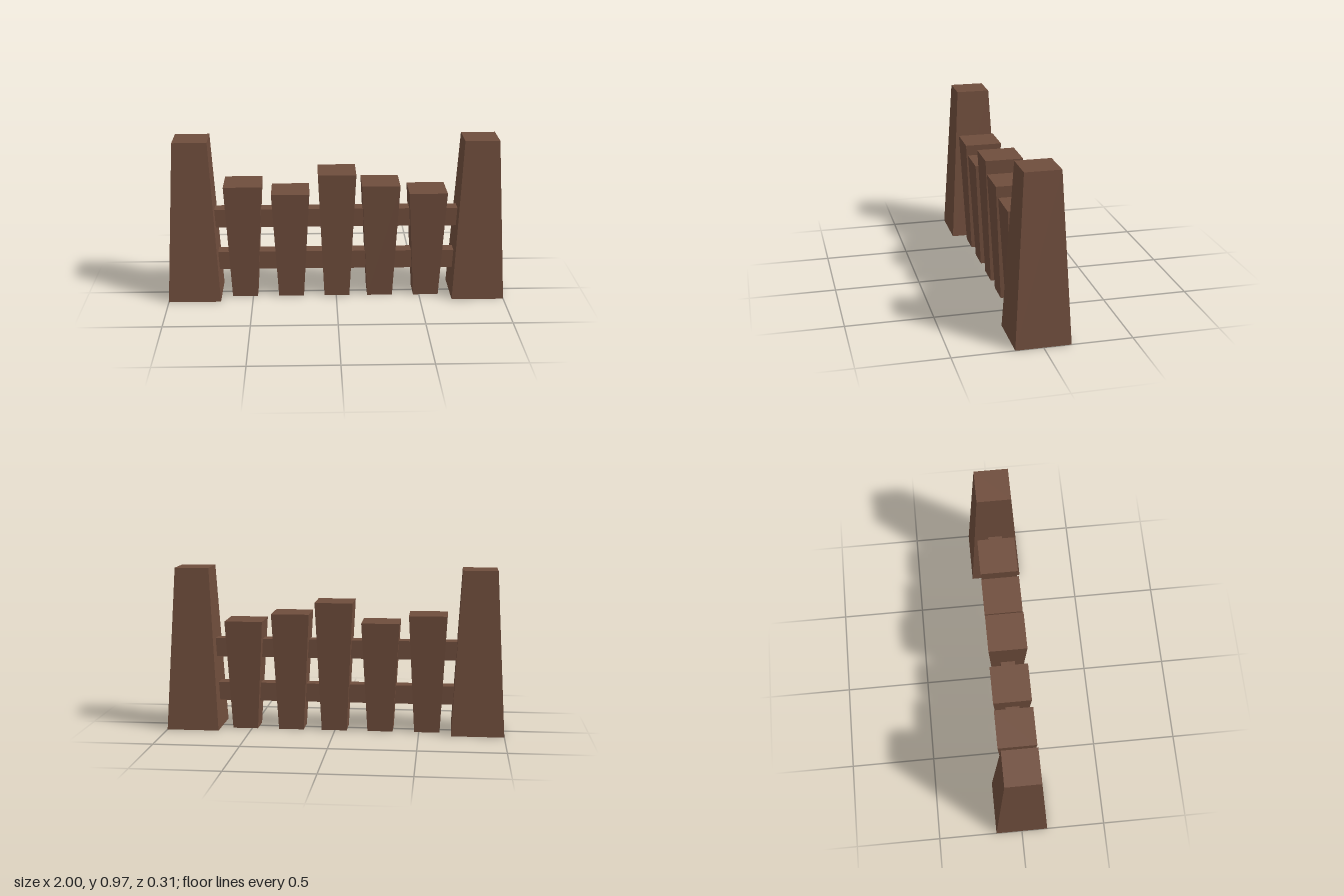
import * as THREE from 'three';

// Square tapered block standing on y = 0; half widths at bottom and top
function taperedBlock(bottom, top, height) {
  const geo = new THREE.BoxGeometry(2, height, 2).translate(0, height / 2, 0);
  const pos = geo.attributes.position;
  for (let i = 0; i < pos.count; i++) {
    const half = pos.getY(i) > height / 2 ? top : bottom;
    pos.setX(i, pos.getX(i) * half);
    pos.setZ(i, pos.getZ(i) * half);
  }
  geo.computeVertexNormals();
  return geo;
}

export function createModel() {
  const group = new THREE.Group();
  group.name = 'fence';
  const wood = new THREE.MeshStandardMaterial({ color: 0x6f4d3c, flatShading: true });
  wood.name = 'brownWood';

  const add = (name, geo, x, y = 0) => {
    const mesh = new THREE.Mesh(geo, wood);
    mesh.name = name;
    mesh.position.set(x, y, 0);
    group.add(mesh);
  };

  // End posts, narrowing upwards
  add('rightPost', taperedBlock(0.155, 0.101, 0.967), -0.845);
  add('leftPost', taperedBlock(0.155, 0.101, 0.967), 0.845);

  // Pickets, widening upwards: [x, height]
  const pickets = [[-0.548, 0.7], [-0.27, 0.653], [0.004, 0.77], [0.262, 0.7], [0.54, 0.653]];
  pickets.forEach(([x, h], i) => add(`picket${i + 1}`, taperedBlock(0.075, 0.112, h), x));

  // Horizontal rails running into the posts
  add('lowerRail', new THREE.BoxGeometry(1.46, 0.11, 0.084), 0, 0.219);
  add('upperRail', new THREE.BoxGeometry(1.46, 0.11, 0.084), 0, 0.486);

  return group;
}
